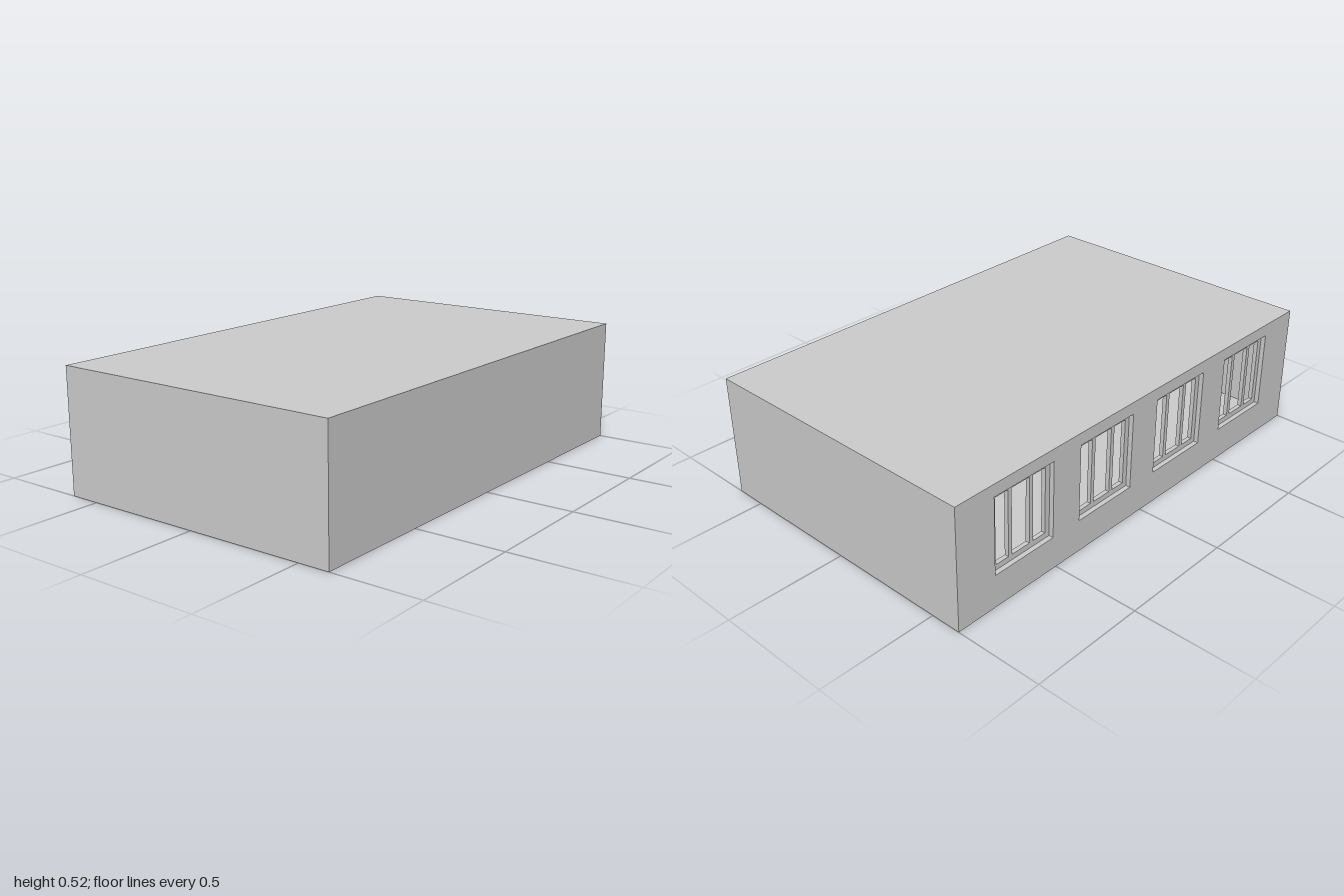
import * as THREE from 'three';

const W = 2, H = 0.52, D = 1.26;
const SKIN = 0.006;              // thickness of plain walls, floor and roof
const BACK = 0.04;               // thickness of the window wall
const WIN_W = 0.3, WIN_Y0 = 0.14, WIN_Y1 = 0.468;
const WIN_X = [-0.668, -0.223, 0.223, 0.668];

const material = new THREE.MeshStandardMaterial({ color: 0xcccccc, side: THREE.DoubleSide });

function box(parent, name, w, h, d, x, y, z) {
  const mesh = new THREE.Mesh(new THREE.BoxGeometry(w, h, d), material);
  mesh.name = name;
  mesh.position.set(x, y, z);
  parent.add(mesh);
}

function rect(path, x0, y0, x1, y1) {
  path.moveTo(x0, y0);
  path.lineTo(x1, y0);
  path.lineTo(x1, y1);
  path.lineTo(x0, y1);
  path.closePath();
  return path;
}

// Three-light frame: an outer border and two mullions
function windowFrame() {
  const frame = new THREE.Group();
  frame.name = 'windowFrame';
  const border = 0.023, mullion = 0.018;
  const h = WIN_Y1 - WIN_Y0;
  const shape = rect(new THREE.Shape(), -WIN_W / 2, 0, WIN_W / 2, h);
  shape.holes.push(rect(new THREE.Path(), -WIN_W / 2 + border, border, WIN_W / 2 - border, h - border));
  const surround = new THREE.Mesh(
    new THREE.ExtrudeGeometry(shape, { depth: 0.018, bevelEnabled: false }), material);
  surround.name = 'frameSurround';
  frame.add(surround);
  for (const s of [-1, 1]) {
    box(frame, 'mullion', mullion, h - 2 * border, 0.018, s * 0.054, h / 2, 0.009);
  }
  return frame;
}

export function createModel() {
  const room = new THREE.Group();
  room.name = 'room';

  // Floor, roof and plain walls
  box(room, 'floor', W, SKIN, D, 0, SKIN / 2, 0);
  box(room, 'roof', W, SKIN, D, 0, H - SKIN / 2, 0);
  const wallH = H - 2 * SKIN;
  box(room, 'frontWall', W, wallH, SKIN, 0, H / 2, D / 2 - SKIN / 2);
  for (const s of [-1, 1]) {
    box(room, s > 0 ? 'leftWall' : 'rightWall', SKIN, wallH, D - SKIN - BACK,
      s * (W / 2 - SKIN / 2), H / 2, (BACK - SKIN) / 2);
  }

  // Back wall with four window openings
  const wall = rect(new THREE.Shape(), -W / 2, SKIN, W / 2, H - SKIN);
  for (const x of WIN_X) {
    wall.holes.push(rect(new THREE.Path(), x - WIN_W / 2, WIN_Y0, x + WIN_W / 2, WIN_Y1));
  }
  const backWall = new THREE.Mesh(
    new THREE.ExtrudeGeometry(wall, { depth: BACK, bevelEnabled: false }), material);
  backWall.name = 'backWall';
  backWall.position.z = -D / 2;
  room.add(backWall);

  // Recessed frames
  for (const x of WIN_X) {
    const frame = windowFrame();
    frame.position.set(x, WIN_Y0, -D / 2 + 0.02);
    room.add(frame);
  }
  return room;
}
